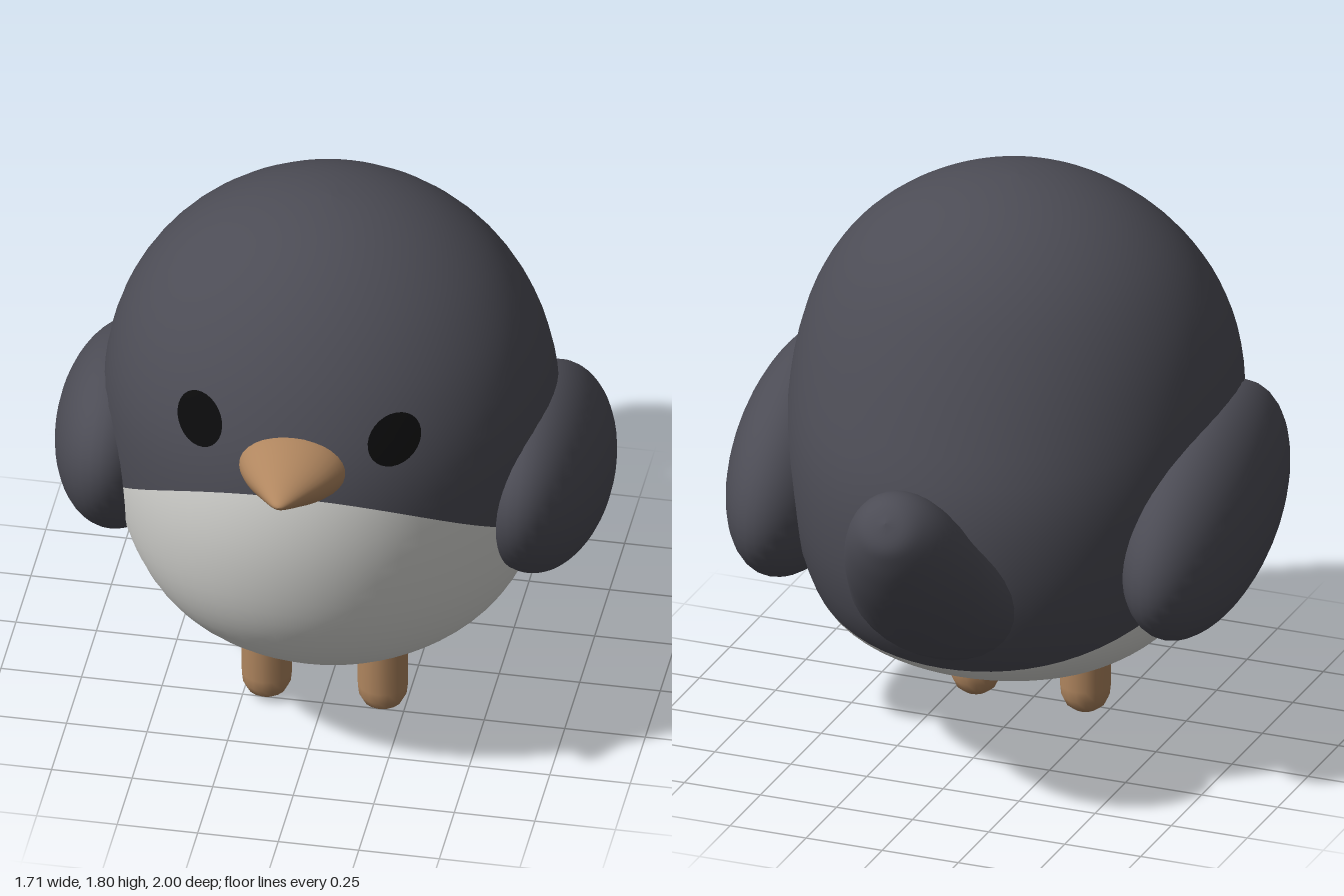
import * as THREE from 'three';

const material = (name, color) => Object.assign(new THREE.MeshStandardMaterial({ color }), { name });
const V = (x, y, z) => new THREE.Vector3(x, y, z);

// Closed rings stacked along u; point(angle, u) gives each vertex
function ringSurface(point, rings, sides) {
  const pos = [], index = [];
  for (let i = 0; i <= rings; i++)
    for (let j = 0; j < sides; j++) pos.push(...point((j / sides) * Math.PI * 2, i / rings).toArray());
  for (let i = 0; i < rings; i++)
    for (let j = 0; j < sides; j++) {
      const k = (j + 1) % sides;
      const a = i * sides + j, b = i * sides + k, c = b + sides, d = a + sides;
      index.push(a, b, c, a, c, d);
    }
  const g = new THREE.BufferGeometry();
  g.setAttribute('position', new THREE.Float32BufferAttribute(pos, 3));
  g.setIndex(index);
  g.computeVertexNormals();
  return g;
}

// Body levels from bottom to top: half width, front z, back z
const bodyLevels = new THREE.CatmullRomCurve3([
  [0, 0.14, 0.14], [0.23, 0.31, -0.04], [0.4, 0.47, -0.32], [0.55, 0.63, -0.53], [0.63, 0.74, -0.62],
  [0.675, 0.8, -0.65], [0.695, 0.82, -0.63], [0.685, 0.795, -0.55], [0.63, 0.715, -0.46],
  [0.525, 0.6, -0.36], [0.375, 0.46, -0.23], [0.195, 0.3, -0.07], [0, 0.115, 0.115],
].map((p) => V(...p)), false, 'catmullrom', 0.5);
const MID = 0.995, HALF = 0.805;

function bodyPoint(angle, u) {
  const l = bodyLevels.getPoint(u);
  return V(l.x * Math.sin(angle), MID - HALF * Math.cos(Math.PI * u),
    (l.y + l.z) / 2 + ((l.y - l.z) / 2) * Math.cos(angle));
}

// Depth of the front of the body at a given x and y
function bodyFront(x, y) {
  const u = Math.acos((MID - y) / HALF) / Math.PI;
  return bodyPoint(Math.asin(x / bodyLevels.getPoint(u).x), u).z;
}

// Level where the pale belly meets the dark back, sloping down to the rear
const bellyEdgeCache = new Map();
function bellyEdge(angle) {
  if (bellyEdgeCache.has(angle)) return bellyEdgeCache.get(angle);
  let lo = 0, hi = 1;
  for (let i = 0; i < 30; i++) {
    const u = (lo + hi) / 2, { y, z } = bodyPoint(angle, u);
    if (y < 0.63 + 0.45 * z + 0.1 * z * z + 0.17 * z ** 3) lo = u; else hi = u;
  }
  bellyEdgeCache.set(angle, lo);
  return lo;
}

export function createModel() {
  const model = new THREE.Group();
  model.name = 'bird';
  const dark = material('dark plumage', 0x4c4c55);
  const pale = material('pale belly', 0xdbdbd7);
  const tan = material('tan beak and legs', 0xb0865f);
  const black = material('black eyes', 0x0b0b0c);
  const add = (name, geometry, mat) => {
    const mesh = new THREE.Mesh(geometry, mat);
    mesh.name = name;
    model.add(mesh);
    return mesh;
  };

  // Body: lower half of the rings is belly, upper half is plumage
  const rings = 48, sides = 64;
  const body = ringSurface((angle, u) => {
    const e = bellyEdge(angle);
    return bodyPoint(angle, u < 0.5 ? e * u * 2 : e + (1 - e) * (u * 2 - 1));
  }, rings, sides);
  const half = (rings / 2) * sides * 6;
  body.addGroup(0, half, 0);
  body.addGroup(half, half, 1);
  add('body', body, [pale, dark]);

  // Tail: sections between a lower and an upper edge, [half width, y, z]
  const lower = new THREE.CatmullRomCurve3([
    [0.27, 0.4, -0.42], [0.265, 0.48, -0.6], [0.235, 0.61, -0.75], [0.205, 0.74, -0.87],
    [0.165, 0.86, -0.95], [0.12, 0.95, -0.99], [0.07, 1.01, -1.0], [0, 1.08, -0.975],
  ].map((p) => V(...p)), false, 'catmullrom', 0.5);
  const upper = new THREE.CatmullRomCurve3([
    [0, 0.8, -0.4], [0, 0.89, -0.58], [0, 0.97, -0.66], [0, 1.05, -0.72],
    [0, 1.11, -0.79], [0, 1.135, -0.86], [0, 1.125, -0.925], [0, 1.08, -0.975],
  ].map((p) => V(...p)), false, 'catmullrom', 0.5);
  add('tail', ringSurface((angle, u) => {
    const l = lower.getPoint(u), t = upper.getPoint(u), c = Math.cos(angle);
    return V(l.x * Math.sin(angle), (l.y + t.y + (t.y - l.y) * c) / 2, (l.z + t.z + (t.z - l.z) * c) / 2);
  }, 28, 32), dark);

  // Beak: rounded cone with an oval base
  const beakProfile = new THREE.SplineCurve([
    [1, 0], [0.97, 0.05], [0.78, 0.12], [0.5, 0.19], [0.25, 0.25], [0.1, 0.28], [0, 0.287],
  ].map((p) => new THREE.Vector2(...p))).getPoints(20);
  beakProfile.forEach((p) => { p.x = Math.max(0, p.x); });
  const beakGeometry = new THREE.LatheGeometry([new THREE.Vector2(0, 0), ...beakProfile], 32);
  beakGeometry.rotateX(Math.PI / 2).scale(0.172, 0.11, 1);
  add('beak', beakGeometry, tan).position.set(0, 1.22, 0.713);
  model.children.at(-1).rotation.x = -0.08;

  // Leg profile with a rounded foot end
  const legGeometry = new THREE.LatheGeometry(
    [[0, 0], [0.035, 0.004], [0.06, 0.022], [0.074, 0.05], [0.078, 0.085], [0.078, 0.32]]
      .map((p) => new THREE.Vector2(...p)), 16);

  for (const [side, s] of [['left', 1], ['right', -1]]) {
    const wing = add(side + 'Wing', new THREE.SphereGeometry(1, 40, 28), dark);
    wing.scale.set(0.207, 0.315, 0.49);
    wing.position.set(s * 0.648, 0.818, 0.035);
    wing.rotation.x = -0.35;

    add(side + 'Leg', legGeometry, tan).position.set(s * 0.18, 0, 0.222);

    // Eye: thin disc that follows the curve of the face
    add(side + 'Eye', ringSurface((angle, u) => {
      const r = 0.076 * (1 - u);
      const x = s * 0.302 + r * Math.cos(angle), y = 1.322 + r * Math.sin(angle);
      return V(x, y, bodyFront(x, y) + 0.008);
    }, 5, 28), black);
  }
  return model;
}
